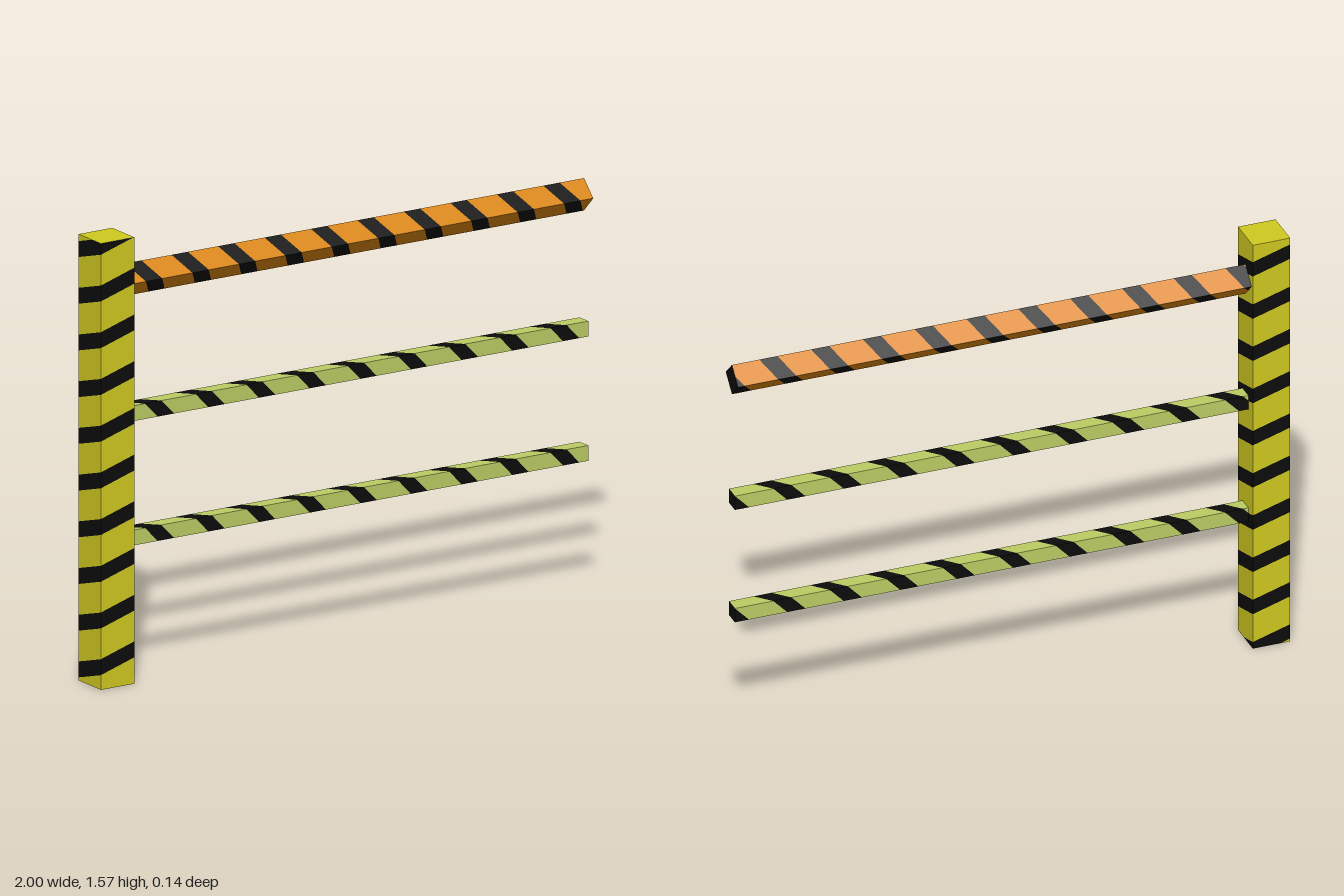
import * as THREE from 'three';

const mat = (name, color) => {
  const m = new THREE.MeshStandardMaterial({ color });
  m.name = name;
  return m;
};

// Cut a polygon of [s, t] points, keeping sign * (t - limit) >= 0
function clip(poly, limit, sign) {
  const out = [];
  poly.forEach((a, i) => {
    const b = poly[(i + 1) % poly.length];
    const da = sign * (a[1] - limit), db = sign * (b[1] - limit);
    if (da >= 0) out.push(a);
    if (da * db < 0) {
      const f = da / (da - db);
      out.push([a[0] + (b[0] - a[0]) * f, limit]);
    }
  });
  return out;
}

// Four-sided bar whose dark stripes wind round it, climbing one pitch per turn.
// corners: cross-section; place: maps (u, v, t) to a point; start: stripe edge at the first corner
function stripedBar(name, { corners, place, t0, t1, start, pitch, width, body, dark, endCap }) {
  const bodyPos = [], darkPos = [];
  const fan = (target, pts) => {
    for (let i = 1; i + 1 < pts.length; i++) target.push(...pts[0], ...pts[i], ...pts[i + 1]);
  };

  // Sides, split into alternating slanted bands
  const rise = pitch / 4;
  const first = Math.floor((t0 - start) / pitch) - 2;
  const last = Math.ceil((t1 - start) / pitch) + 1;
  corners.forEach((a, side) => {
    const b = corners[(side + 1) % 4];
    const band = (target, lo, hi) => {
      let poly = [[0, lo], [1, lo + rise], [1, hi + rise], [0, hi]];
      poly = clip(clip(poly, t0, 1), t1, -1);
      fan(target, poly.map(([s, t]) =>
        place(a[0] + (b[0] - a[0]) * s, a[1] + (b[1] - a[1]) * s, t)));
    };
    for (let k = first; k <= last; k++) {
      const lo = start + k * pitch + side * rise;
      band(darkPos, lo, lo + width);
      band(bodyPos, lo + width, lo + pitch);
    }
  });

  // End caps
  fan(endCap === dark ? darkPos : bodyPos, corners.map(([u, v]) => place(u, v, t1)));
  fan(bodyPos, corners.map(([u, v]) => place(u, v, t0)).reverse());

  const group = new THREE.Group();
  group.name = name;
  for (const [part, pos, material] of [['Body', bodyPos, body], ['Stripes', darkPos, dark]]) {
    const g = new THREE.BufferGeometry();
    g.setAttribute('position', new THREE.Float32BufferAttribute(pos, 3));
    g.computeVertexNormals();
    const mesh = new THREE.Mesh(g, material);
    mesh.name = name + part;
    group.add(mesh);
  }
  return group;
}

export function createModel() {
  const yellow = mat('yellow', 0xd0ca20);
  const orange = mat('orange', 0xda860e);
  const green = mat('paleGreen', 0xbccd64);
  const dark = mat('black', 0x0c0c0c);

  const model = new THREE.Group();
  model.name = 'barrier';

  // Upright post
  const h = 0.068, px = -0.932;
  model.add(stripedBar('post', {
    corners: [[px - h, h], [px + h, h], [px + h, -h], [px - h, -h]],
    place: (x, z, t) => [x, t, z],
    t0: 0, t1: 1.572, start: 0.052, pitch: 0.1645, width: 0.056,
    body: yellow, dark, endCap: yellow,
  }));

  // Rails run along x from the post and end in black
  const rail = { place: (y, z, t) => [t, y, z], t0: px + h, t1: 1, dark, endCap: dark };

  // Top rail, a square bar set on edge
  const r = 0.057, top = 1.405;
  model.add(stripedBar('topRail', {
    ...rail, corners: [[top + r, 0], [top, r], [top - r, 0], [top, -r]],
    start: -0.857, pitch: 0.188, width: 0.066, body: orange,
  }));

  // Two lower rails
  const q = 0.027;
  [['middleRail', 0.938], ['lowerRail', 0.5]].forEach(([name, y]) => {
    model.add(stripedBar(name, {
      ...rail, corners: [[y + q, q], [y - q, q], [y - q, -q], [y + q, -q]],
      start: -0.794, pitch: 0.205, width: 0.066, body: green,
    }));
  });

  return model;
}
